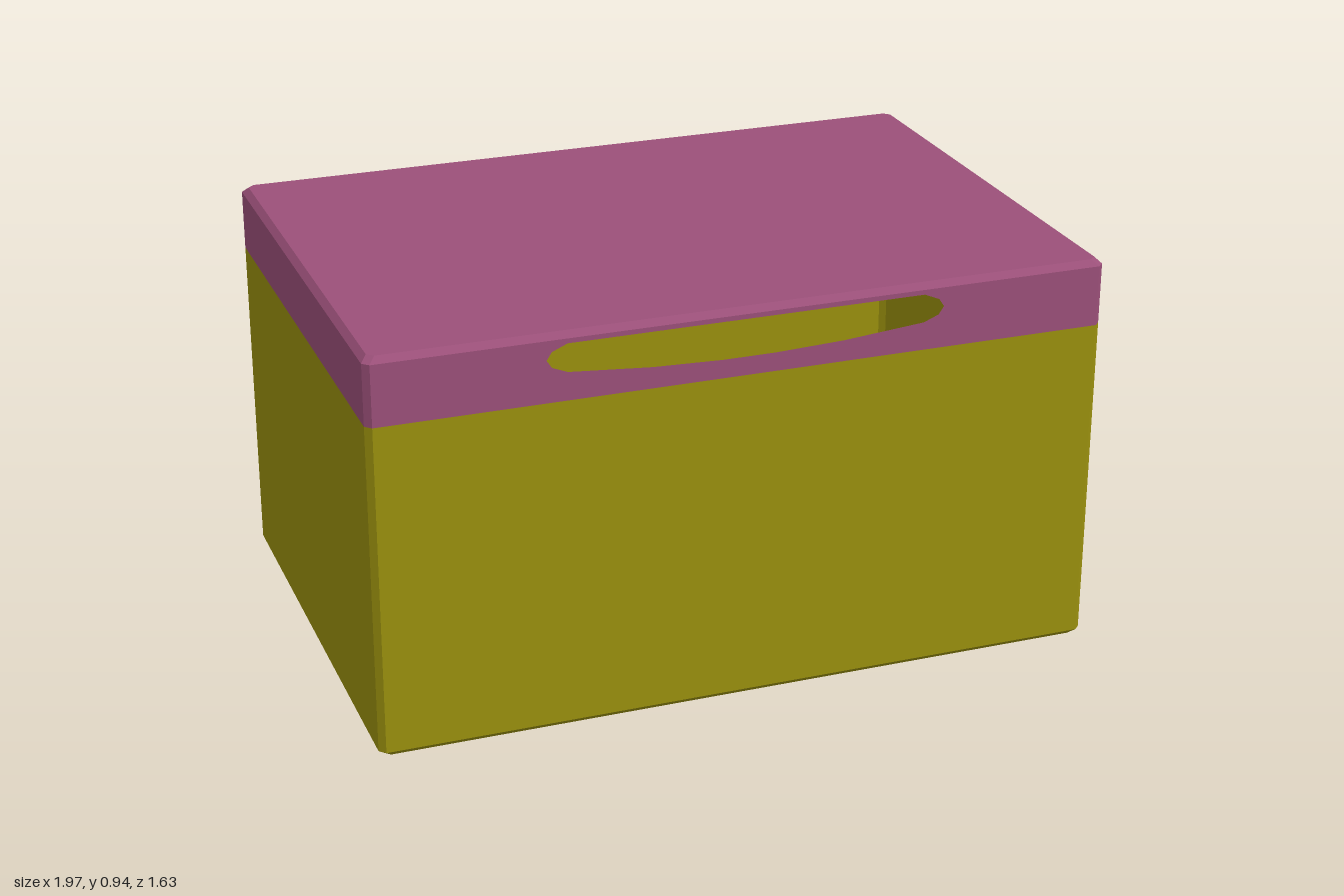
import * as THREE from 'three';

const W = 0.85, D = 0.58, H = 0.94, SEAM = 0.785, C = 0.014; // half width, half depth, height, lid seam, chamfer

const paint = (color) => new THREE.MeshStandardMaterial({ color, flatShading: true, side: THREE.DoubleSide });

// Rectangle with chamfered corners, pulled in by `inset`; the first side is the front wall
function ring(y, inset) {
  const w = W - inset, d = D - inset;
  return [[-w + C, d], [w - C, d], [w, d - C], [w, -d + C], [w - C, -d], [-w + C, -d], [-w, -d + C], [-w, d - C]]
    .map(([x, z]) => new THREE.Vector3(x, y, z));
}

// Joins rings from bottom to top; can cap either end and leave out one wall
function shell(rings, { capBottom = false, capTop = false, skip = () => false }) {
  const points = [];
  for (let r = 0; r < rings.length - 1; r++) {
    for (let i = 0; i < 8; i++) {
      if (skip(r, i)) continue;
      const j = (i + 1) % 8;
      const [a, b, c, d] = [rings[r][i], rings[r][j], rings[r + 1][j], rings[r + 1][i]];
      points.push(a, b, c, a, c, d);
    }
  }
  const bottom = rings[0], top = rings[rings.length - 1];
  for (let i = 1; i < 7; i++) {
    if (capBottom) points.push(bottom[0], bottom[i + 1], bottom[i]);
    if (capTop) points.push(top[0], top[i], top[i + 1]);
  }
  const geometry = new THREE.BufferGeometry().setFromPoints(points);
  geometry.computeVertexNormals();
  return geometry;
}

// Front wall of the lid with the hand slot cut out
function slottedWall() {
  const wall = new THREE.Shape();
  wall.moveTo(-W + C, SEAM);
  wall.lineTo(W - C, SEAM);
  wall.lineTo(W - C, H - C);
  wall.lineTo(-W + C, H - C);
  wall.closePath();
  const half = [[0.06, 0.828], [0.22, 0.834], [0.41, 0.85], [0.445, 0.864], [0.457, 0.882], [0.445, 0.9], [0.41, 0.915]];
  const outline = [...half, ...half.map(([x, y]) => [-x, y]).reverse()];
  wall.holes.push(new THREE.Path(outline.map(([x, y]) => new THREE.Vector2(x, y))));
  return new THREE.ShapeGeometry(wall).translate(0, 0, D);
}

export function createModel() {
  const model = new THREE.Group();
  model.name = 'storageBox';
  const add = (name, geometry, material, parent = model) => {
    const mesh = new THREE.Mesh(geometry, material);
    mesh.name = name;
    parent.add(mesh);
    return mesh;
  };

  // Hollow body
  add('body', shell([ring(0, C), ring(C, 0), ring(SEAM, 0)], { capBottom: true }), paint(0x9a900e));

  // Hollow lid
  const lid = new THREE.Group();
  lid.name = 'lid';
  model.add(lid);
  const lidPaint = paint(0x9b5079);
  const lidRings = [ring(SEAM, 0), ring(H - C, 0), ring(H, C)];
  add('lidShell', shell(lidRings, { capTop: true, skip: (r, i) => r === 0 && i === 0 }), lidPaint, lid);
  add('lidFrontWall', slottedWall(), lidPaint, lid);

  // Hinge barrels set into the back wall
  const steel = paint(0x777c77);
  const barrel = new THREE.CylinderGeometry(0.027, 0.027, 0.26, 8).rotateY(Math.PI / 8).rotateZ(Math.PI / 2);
  for (const [name, x] of [['leftHinge', 0.55], ['rightHinge', -0.55]]) {
    add(name, barrel, steel).position.set(x, 0.898, -D - 0.012);
  }

  // The box stands turned on its base
  model.rotation.y = -0.326;
  return model;
}
